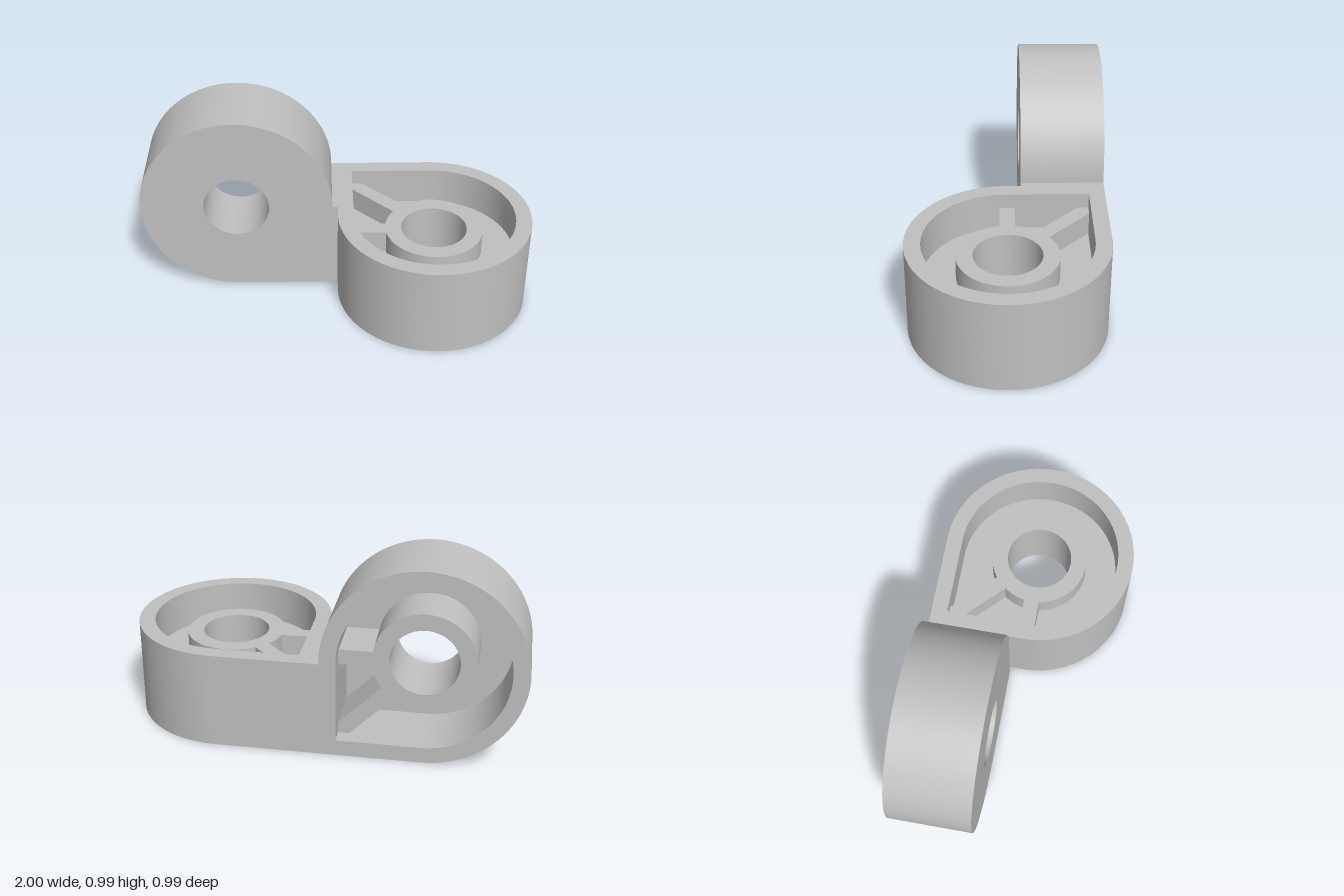
import * as THREE from 'three';
import { toCreasedNormals } from 'three/addons/utils/BufferGeometryUtils.js';

const R = 0.493;      // outer radius of a lobe
const INNER = 0.412;  // cavity radius
const BOSS = 0.25, HOLE = 0.168;
const RIB = 0.078;    // rib thickness
const RECESS = 0.08;  // boss and ribs sit below the rim

const grey = new THREE.MeshStandardMaterial({ color: 0xc0c0c0 });
grey.name = 'grey';

// Disc with one square corner at (-r, -r)
function teardrop(r, Type = THREE.Shape) {
  const s = new Type();
  s.moveTo(-r, -r);
  s.lineTo(0, -r);
  s.absarc(0, 0, r, -Math.PI / 2, Math.PI, false);
  s.lineTo(-r, -r);
  return s;
}

function circle(r, Type = THREE.Path) {
  return new Type().absarc(0, 0, r, 0, Math.PI * 2, false);
}

// Extrude a shape with a hole between two depths
function slab(name, shape, hole, z0, z1) {
  shape.holes.push(hole);
  const raw = new THREE.ExtrudeGeometry(shape, { depth: z1 - z0, bevelEnabled: false, curveSegments: 64 });
  const mesh = new THREE.Mesh(toCreasedNormals(raw, 0.5), grey);
  mesh.name = name;
  mesh.position.z = z0;
  return mesh;
}

// Rib running outward from the boss at a given angle
function rib(name, angle, from, to, z0, z1) {
  const mesh = new THREE.Mesh(new THREE.BoxGeometry(to - from, RIB, z1 - z0), grey);
  const mid = (from + to) / 2;
  mesh.name = name;
  mesh.position.set(Math.cos(angle) * mid, Math.sin(angle) * mid, (z0 + z1) / 2);
  mesh.rotation.z = angle;
  return mesh;
}

// Hollow lobe: rim, web between web0 and web1, boss and two ribs
function lobe(name, depth, web0, web1, bossStart) {
  const g = new THREE.Group();
  g.name = name;
  const end = depth - RECESS;
  if (web0 > 0) {
    g.add(slab('rim', teardrop(R), teardrop(INNER, THREE.Path), 0, depth));
    g.add(slab('web', teardrop(INNER), circle(HOLE), web0, web1));
  } else {
    g.add(slab('rim', teardrop(R), teardrop(INNER, THREE.Path), web1, depth));
    g.add(slab('facePlate', teardrop(R), circle(HOLE), 0, web1));
  }
  g.add(slab('boss', circle(BOSS, THREE.Shape), circle(HOLE), bossStart, end));
  g.add(rib('sideRib', Math.PI, 0.21, INNER + 0.02, bossStart, end));
  g.add(rib('cornerRib', Math.PI * 1.25, 0.21, INNER * Math.SQRT2 + 0.02, bossStart, end));
  return g;
}

export function createModel() {
  const model = new THREE.Group();
  model.name = 'angledBracket';

  // Upright lobe: closed at the front, open at the back
  const upright = lobe('uprightLobe', 0.423, 0, 0.085, 0.085);
  upright.rotation.y = Math.PI;
  upright.position.set(-0.507, R, -0.07);
  model.add(upright);

  // Flat lobe: open above and below with a web in the middle
  const flat = lobe('flatLobe', 0.485, 0.2, 0.285, RECESS);
  flat.rotation.x = Math.PI / 2;
  flat.position.set(0.507, 0.485, 0);
  model.add(flat);

  // Narrow bridge joining the two lobes
  const bridge = new THREE.Mesh(new THREE.BoxGeometry(0.028, 0.485, 0.418), grey);
  bridge.name = 'bridge';
  bridge.position.set(0, 0.2425, -0.284);
  model.add(bridge);

  return model;
}
